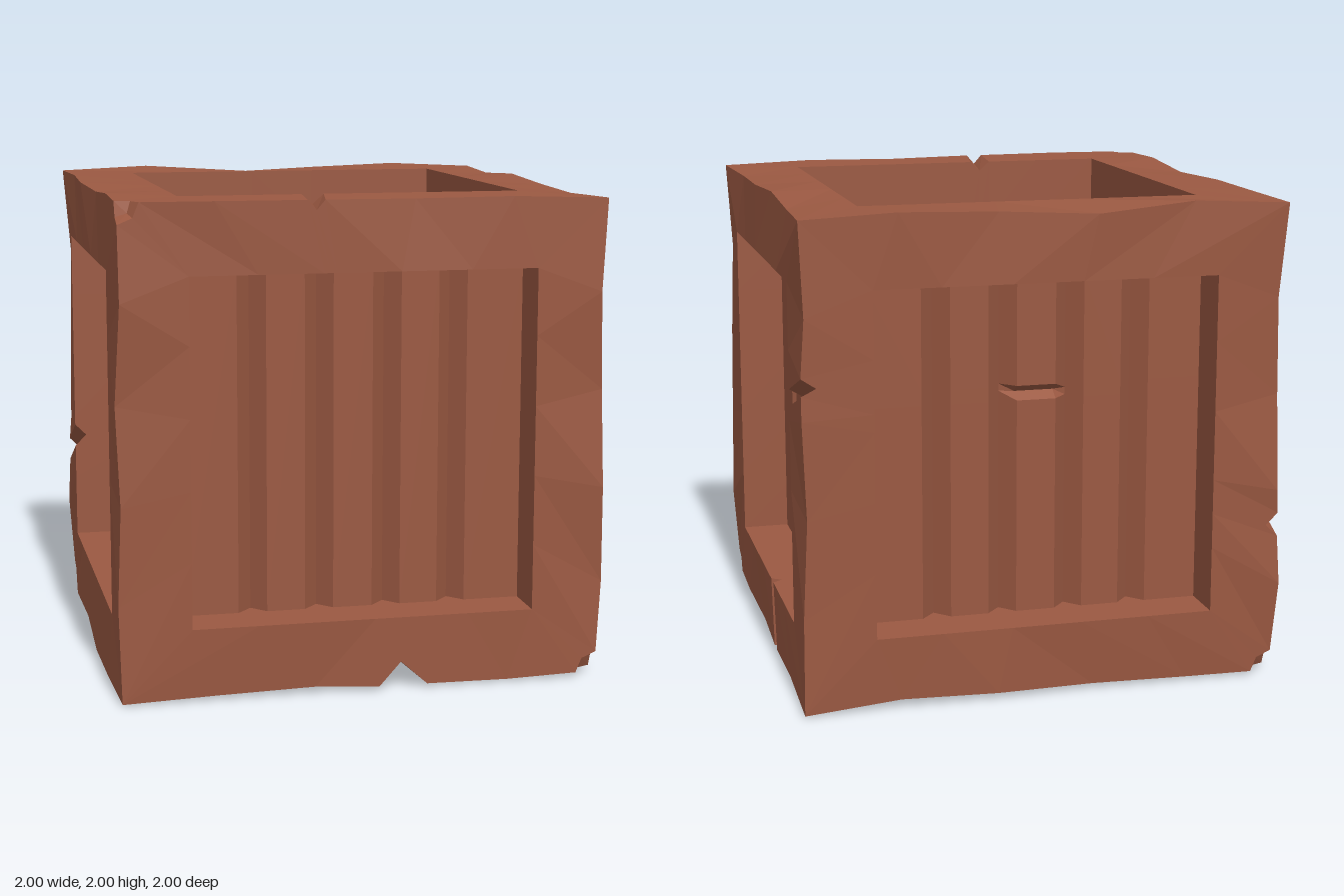
import * as THREE from 'three';

const FACE = 0.985;   // plane of the frame faces
const HOLE = 0.7;     // half width of each recess
const PANEL = 0.785;  // plane of the slats
const GROOVE = 0.065; // depth of the gaps between slats
const FLOOR = 0.71;   // bottom of the recess walls
const CHIP = 0.085;   // size of the broken corners

// Corners that are chipped off, by sign of x, y, z
const CHIPS = [[1, -1, 1], [-1, 1, 1], [-1, -1, -1]];

// V cuts across a frame beam: edge direction, signs of the edge's place
// (0 along the edge), the face that is cut, positions at the rim and the hole
const CUTS = [
  { dir: 2, at: [1, -1, 0], face: 0, outer: [-0.22, -0.19, -0.155], inner: [-0.16, -0.13, -0.1], depth: 0.04 },
  { dir: 1, at: [1, 0, -1], face: 0, outer: [0.3, 0.33, 0.37], inner: [0.2, 0.235, 0.27], depth: 0.06 },
  { dir: 0, at: [0, 1, 1], face: 1, outer: [-0.235, -0.2, -0.165], inner: [-0.2, -0.155, -0.11], depth: 0.04 },
  { dir: 0, at: [0, -1, 1], face: 1, outer: [0.06, 0.15, 0.26], inner: [0.03, 0.12, 0.23], depth: 0.1 },
  { dir: 1, at: [-1, 0, -1], face: 0, outer: [-0.4, -0.35, -0.3], inner: [-0.28, -0.23, -0.18], depth: 0.05 },
];

const same = (a, b) => a.every((n, i) => n === b[i]);

// Repeatable value from -1 to 1 for a place on the crate
function noise(p, salt) {
  const n = Math.sin(p[0] * 12.9 + p[1] * 78.2 + p[2] * 37.7 + salt * 19.3) * 43758.5;
  return (n - Math.floor(n)) * 2 - 1;
}

// Collects flat triangles, each turned towards a given direction
class Faces {
  constructor() { this.data = []; }
  tri(a, b, c, out) {
    const [A, B, C] = [a, b, c].map((p) => new THREE.Vector3(...p));
    const normal = B.clone().sub(A).cross(C.clone().sub(A));
    if (normal.length() < 1e-8) return;
    const flip = normal.dot(new THREE.Vector3(...out)) < 0;
    this.data.push(...a, ...(flip ? c : b), ...(flip ? b : c));
  }
  quad(a, b, c, d, out) {
    this.tri(a, b, c, out);
    this.tri(a, c, d, out);
  }
  mesh(name, material) {
    const geometry = new THREE.BufferGeometry();
    geometry.setAttribute('position', new THREE.Float32BufferAttribute(this.data, 3));
    geometry.computeVertexNormals();
    const mesh = new THREE.Mesh(geometry, material);
    mesh.name = name;
    return mesh;
  }
}

const corner = (signs) => signs.map((s, i) => s * (0.983 + 0.012 * noise(signs, i)));

// Worn edge of the crate, shared by the two faces that meet there
function edgeStations(dir, at) {
  const list = [];
  for (const end of [-1, 1]) {
    const signs = at.map((s, i) => (i === dir ? end : s));
    const p = corner(signs);
    if (CHIPS.some((c) => same(c, signs))) p[dir] -= end * CHIP;
    list.push({ t: end * 0.98, p });
  }
  const cuts = CUTS.filter((c) => c.dir === dir && same(c.at, at));
  for (const t of [-0.6, -0.2, 0.2, 0.6]) {
    if (cuts.some((c) => c.outer.some((o) => Math.abs(o - t) < 0.08))) continue;
    const place = at.map((s, i) => (i === dir ? t : s));
    list.push({ t, p: place.map((s, i) => (i === dir ? t : s * (0.98 + 0.02 * noise(place, i)))) });
  }
  for (const cut of cuts) {
    cut.outer.forEach((t, i) => {
      const p = at.map((s) => s * FACE);
      p[dir] = t;
      const drop = i === 1 ? cut.depth : 0;
      p[cut.face] -= at[cut.face] * drop;
      list.push({ t, p, face: cut.face, inner: cut.inner[i], drop });
    });
  }
  return list.sort((a, b) => a.t - b.t);
}

// Four beams and the recess walls of one side of the crate
function buildFrame(axis, sign, name, material) {
  const faces = new Faces();
  const out = [0, 0, 0];
  out[axis] = sign;
  const others = [0, 1, 2].filter((i) => i !== axis);
  for (const dir of others) {
    const side = others.find((i) => i !== dir);
    for (const q of [-1, 1]) {
      const at = [0, 0, 0];
      at[axis] = sign;
      at[side] = q;
      const inward = [0, 0, 0];
      inward[side] = -q;
      const rows = edgeStations(dir, at).map((st) => {
        const cutHere = st.face === axis;
        const rim = [0, 0, 0];
        rim[dir] = cutHere ? st.inner : st.t * HOLE / 0.98;
        rim[side] = q * HOLE;
        rim[axis] = sign * (FACE - (cutHere ? st.drop : 0));
        const base = [...rim];
        base[axis] = sign * FLOOR;
        return { outer: st.p, rim, base };
      });
      for (let i = 1; i < rows.length; i++) {
        const [a, b] = [rows[i - 1], rows[i]];
        faces.quad(a.outer, b.outer, b.rim, a.rim, out);
        faces.quad(a.rim, b.rim, b.base, a.base, inward);
      }
    }
  }
  // Close the face up to each chipped corner
  for (const signs of CHIPS.filter((c) => c[axis] === sign)) {
    const [a, b] = others;
    const rim = signs.map((s, i) => s * (i === axis ? FACE : HOLE));
    const [pa, pb, mid] = [corner(signs), corner(signs), corner(signs)];
    pa[a] -= signs[a] * CHIP;
    pb[b] -= signs[b] * CHIP;
    mid[a] -= signs[a] * 0.06;
    mid[b] -= signs[b] * 0.06;
    faces.tri(rim, pa, mid, out);
    faces.tri(rim, mid, pb, out);
    // Broken surface inside the chip
    const deep = corner(signs).map((n, i) => n - signs[i] * 0.045);
    faces.tri(deep, pa, mid, signs);
    faces.tri(deep, mid, pb, signs);
  }
  return faces.mesh(name, material);
}

// Slats with V gaps between them, with an optional crack across the middle slat
function buildPanel(axis, sign, cracked, name, material) {
  const faces = new Faces();
  const along = axis === 1 ? 2 : 1;
  const across = 3 - axis - along;
  const out = [0, 0, 0];
  out[axis] = sign;
  const profile = [[-HOLE, 0]];
  for (const g of [-0.42, -0.145, 0.135, 0.41]) profile.push([g - 0.06, 0], [g, GROOVE], [g + 0.058, 0]);
  profile.push([HOLE, 0]);
  const lengths = cracked ? [-HOLE, 0.19, 0.22, 0.25, HOLE] : [-HOLE, HOLE];
  const point = (i, j) => {
    const [u, depth] = profile[i];
    const crack = cracked && j === 2 && (i === 6 || i === 7) ? 0.045 : 0;
    const p = [0, 0, 0];
    p[across] = u;
    p[along] = lengths[j];
    p[axis] = sign * (PANEL - depth - crack);
    return p;
  };
  for (let i = 1; i < profile.length; i++) {
    for (let j = 1; j < lengths.length; j++) {
      faces.quad(point(i - 1, j - 1), point(i, j - 1), point(i, j), point(i - 1, j), out);
    }
  }
  return faces.mesh(name, material);
}

export function createModel() {
  const wood = new THREE.MeshStandardMaterial({ color: 0x9b5942 });
  wood.name = 'redBrownWood';
  const crate = new THREE.Group();
  crate.name = 'woodenCrate';
  const sides = [['left', 0, 1], ['right', 0, -1], ['top', 1, 1], ['bottom', 1, -1], ['front', 2, 1], ['back', 2, -1]];
  for (const [name, axis, sign] of sides) {
    const group = new THREE.Group();
    group.name = name + 'Side';
    group.add(buildFrame(axis, sign, name + 'Frame', wood));
    group.add(buildPanel(axis, sign, name === 'back', name + 'Slats', wood));
    group.position.y = 1;
    crate.add(group);
  }
  return crate;
}
